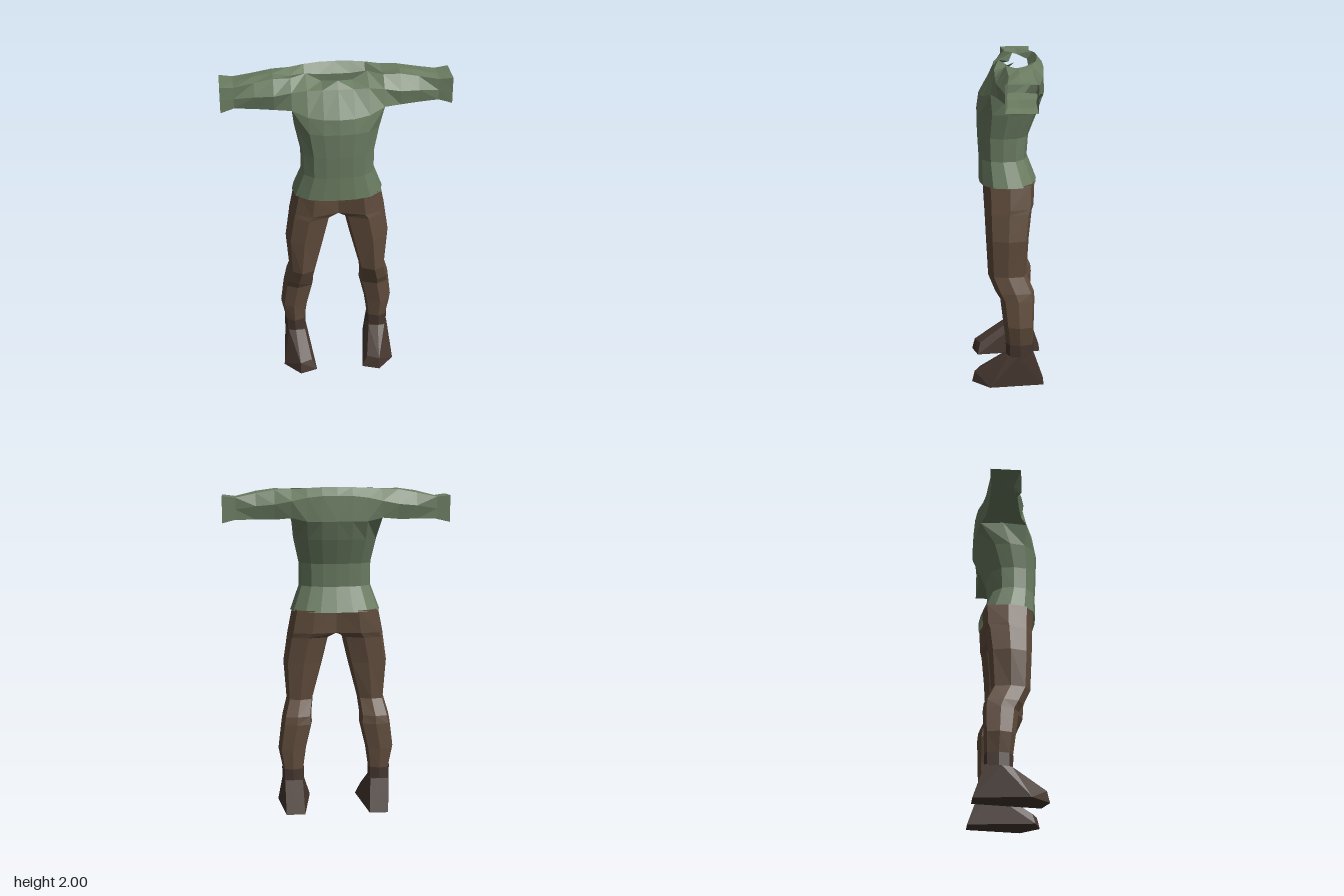
import * as THREE from 'three';
import { ConvexGeometry } from 'three/addons/geometries/ConvexGeometry.js';

// Flat-shaded skin over rows of [x, y, z] points; skip(i, j) leaves a hole
function skin(rows, { closed = false, cap = false, skip = () => false } = {}) {
  const n = rows[0].length, pos = [];
  const tri = (a, b, c) => pos.push(...a, ...b, ...c);
  for (let i = 0; i < rows.length - 1; i++) {
    for (let j = 0; j < (closed ? n : n - 1); j++) {
      if (skip(i, j)) continue;
      const k = (j + 1) % n;
      const a = rows[i][j], b = rows[i][k], c = rows[i + 1][k], d = rows[i + 1][j];
      tri(a, b, c);
      tri(a, c, d);
    }
  }
  if (cap) {
    const top = rows[rows.length - 1];
    for (let j = 1; j < n - 1; j++) tri(top[0], top[j], top[j + 1]);
  }
  const g = new THREE.BufferGeometry();
  g.setAttribute('position', new THREE.Float32BufferAttribute(pos, 3));
  g.computeVertexNormals();
  return g;
}

// Sleeve and shoulder sections: x, then [y, z] from front bottom, over the top, to the underside
const sleeveSections = [
  [0.68, [[1.79, 0.025], [1.87, 0.025], [1.95, 0.025], [1.95, -0.06], [1.95, -0.16], [1.87, -0.16], [1.79, -0.16], [1.79, -0.06]]],
  [0.60, [[1.81, 0.01], [1.87, 0.012], [1.94, 0.01], [1.945, -0.06], [1.94, -0.155], [1.87, -0.155], [1.81, -0.155], [1.805, -0.06]]],
  [0.48, [[1.81, 0.03], [1.89, 0.045], [1.96, 0.0], [1.975, -0.06], [1.965, -0.14], [1.89, -0.172], [1.81, -0.155], [1.805, -0.06]]],
  [0.37, [[1.81, 0.055], [1.9, 0.07], [1.985, 0.01], [1.99, -0.06], [1.985, -0.14], [1.9, -0.185], [1.81, -0.165], [1.805, -0.05]]],
];
const chestSections = [
  [0.27, [[1.82, 0.1], [1.92, 0.075], [1.985, 0.01], [1.965, -0.07], [1.99, -0.14], [1.92, -0.205], [1.82, -0.19], [1.83, -0.05]]],
  [0.18, [[1.79, 0.14], [1.93, 0.075], [1.99, -0.04], [1.95, -0.13], [1.995, -0.165], [1.94, -0.21], [1.8, -0.212], [1.8, -0.05]]],
  [0.09, [[1.78, 0.162], [1.93, 0.077], [1.95, -0.015], [1.94, -0.13], [2.0, -0.175], [1.95, -0.215], [1.8, -0.22], [1.8, -0.05]]],
  [0, [[1.78, 0.17], [1.93, 0.08], [1.975, 0.05], [1.94, -0.13], [2.0, -0.18], [1.95, -0.215], [1.8, -0.222], [1.8, -0.05]]],
];

// Torso rings: y, half width, front z, back z
const torsoRings = [
  [1.25, 0.275, 0.172, -0.18],
  [1.4, 0.22, 0.172, -0.122],
  [1.54, 0.222, 0.18, -0.132],
  [1.69, 0.255, 0.183, -0.19],
];
const torsoOutline = [[0, 1], [0.36, 0.97], [0.68, 0.85], [0.94, 0.5], [1, 0], [0.94, -0.5], [0.68, -0.85], [0.36, -0.97], [0, -1]];

// Leg rings from the ankle up: y, inner x, outer x, front z, back z
const trouserRings = [
  [0.27, 0.202, 0.332, 0.01, -0.155],
  [0.39, 0.185, 0.357, 0.025, -0.16],
  [0.55, 0.147, 0.338, 0.045, -0.165],
  [0.6, 0.15, 0.33, 0.075, -0.16],
  [0.7, 0.138, 0.302, 0.118, -0.115],
  [0.93, 0.078, 0.32, 0.13, -0.13],
  [1.09, 0.04, 0.297, 0.138, -0.148],
  [1.12, 0.0, 0.293, 0.14, -0.16],
  [1.26, 0.0, 0.265, 0.148, -0.165],
];
const bootRings = [
  [0.19, 0.2, 0.335, 0.01, -0.155],
  [0.27, 0.2, 0.335, 0.012, -0.157],
];
const legOutline = [[0.1, 1], [0.8, 0.7], [1, -0.05], [0.8, -0.85], [0, -1], [-0.85, -0.8], [-1, 0], [-0.85, 0.7]];

const legRows = rings => rings.map(([y, xi, xo, f, b]) => legOutline.map(([u, v]) => {
  // The inner side lies flat on the centre line where the legs join
  const s = xi === 0 && u < -0.5 ? -1 : u;
  return [(xi + xo) / 2 + s * (xo - xi) / 2, y, (f + b) / 2 + v * (f - b) / 2];
}));

export function createModel() {
  const colour = (name, color, side = THREE.FrontSide) => {
    const m = new THREE.MeshStandardMaterial({ color, side });
    m.name = name;
    return m;
  };
  const green = colour('shirt green', 0x6b7d62, THREE.DoubleSide);
  const brown = colour('trouser brown', 0x614d3d, THREE.DoubleSide);
  const dark = colour('boot brown', 0x46372f);

  // Shirt: the torso's top ring shares the lower corners of the chest sections
  const yoke = [...sleeveSections, ...chestSections].map(([x, pts]) => pts.map(([y, z]) => [x, y, z]));
  const chest = yoke.slice(4);
  const torso = torsoRings.map(([y, w, f, b]) =>
    torsoOutline.map(([u, v]) => [u * w, y, (f + b) / 2 + v * (f - b) / 2]));
  torso.push([...chest.map(c => c[0]).reverse(), chest[0][7], ...chest.map(c => c[6])]);

  // Boot foot: ankle corners, instep, toe cap and sole
  const foot = [
    [0.21, 0.2, -0.155], [0.32, 0.2, -0.155], [0.335, 0.19, -0.06], [0.315, 0.19, 0.0],
    [0.27, 0.195, 0.01], [0.21, 0.19, 0.0], [0.2, 0.2, -0.08],
    [0.255, 0.07, 0.205], [0.18, 0.07, 0.17], [0.325, 0.06, 0.1],
    [0.355, 0, 0.11], [0.255, 0, 0.222], [0.148, 0, 0.185],
    [0.2, 0, -0.223], [0.315, 0, -0.223],
  ].map(p => new THREE.Vector3(...p));

  const parts = [
    ['shirtBody', skin(torso), green],
    // Open neck in the middle, open underneath between the armpits
    ['shoulderAndSleeve', skin(yoke, { closed: true, skip: (i, j) => i >= 4 && (j === 2 || j >= 6) }), green],
    ['trouserLeg', skin(legRows(trouserRings), { closed: true, cap: true }), brown],
    ['bootShaft', skin(legRows(bootRings), { closed: true, cap: true }), dark],
    ['bootFoot', new ConvexGeometry(foot), dark],
  ];

  const model = new THREE.Group();
  model.name = 'clothedBody';
  for (const [side, s] of [['left', 1], ['right', -1]]) {
    const half = new THREE.Group();
    half.name = side + 'Half';
    half.scale.x = s;
    for (const [name, geometry, material] of parts) {
      const mesh = new THREE.Mesh(geometry, material);
      mesh.name = side + name[0].toUpperCase() + name.slice(1);
      half.add(mesh);
    }
    model.add(half);
  }
  return model;
}
